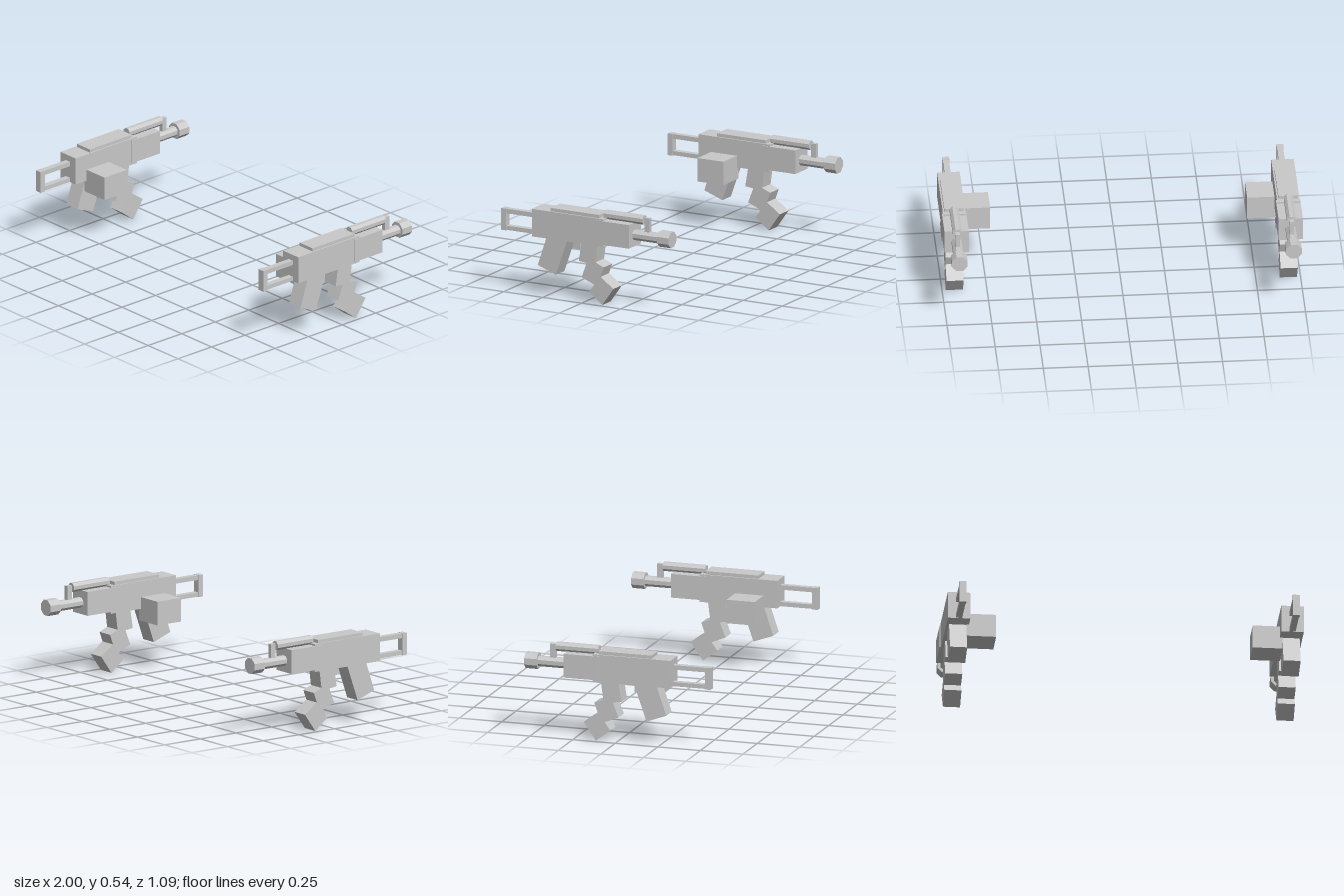
import * as THREE from 'three';

const grey = new THREE.MeshStandardMaterial({ color: 0xc9c9c9 });
grey.name = 'light grey';

function add(group, name, geometry) {
  const flat = geometry.index ? geometry.toNonIndexed() : geometry;
  flat.computeVertexNormals(); // one normal per facet
  const mesh = new THREE.Mesh(flat, grey);
  mesh.name = name;
  group.add(mesh);
}

// Box from its width in x, and its y and z limits
function block(w, y0, y1, z0, z1, x = 0) {
  return new THREE.BoxGeometry(w, y1 - y0, z1 - z0).translate(x, (y0 + y1) / 2, (z0 + z1) / 2);
}

// Octagonal bar along z, with flats facing up and sideways
function bar(halfHeight, y, z0, z1) {
  const r = halfHeight / Math.cos(Math.PI / 8);
  return new THREE.CylinderGeometry(r, r, z1 - z0, 8)
    .rotateY(Math.PI / 8).rotateX(Math.PI / 2).translate(0, y, (z0 + z1) / 2);
}

// Side profile given as [z, y] points, given thickness across x
function profile(points, width) {
  const shape = new THREE.Shape(points.map(p => new THREE.Vector2(...p)));
  return new THREE.ExtrudeGeometry(shape, { depth: width, bevelEnabled: false })
    .translate(0, 0, -width / 2).rotateY(-Math.PI / 2);
}

function createUnit(side) {
  const g = new THREE.Group();
  // main housing
  add(g, 'body', block(0.126, 0.341, 0.499, -0.135, 0.322));
  add(g, 'topCover', block(0.108, 0.49, 0.518, -0.104, 0.208));
  add(g, 'handguard', block(0.136, 0.353, 0.489, -0.302, -0.094));
  // barrel end
  add(g, 'barrel', bar(0.028, 0.419, -0.48, -0.29));
  add(g, 'muzzle', bar(0.044, 0.42, -0.543, -0.47));
  add(g, 'upperTube', bar(0.025, 0.512, -0.365, -0.114));
  add(g, 'sightPost', block(0.024, 0.435, 0.526, -0.402, -0.37));
  // open stock: two rails and an end plate
  add(g, 'stockUpperRail', block(0.034, 0.438, 0.464, 0.31, 0.52));
  add(g, 'stockLowerRail', block(0.034, 0.343, 0.367, 0.31, 0.52));
  add(g, 'stockEndPlate', block(0.04, 0.34, 0.465, 0.512, 0.544));
  // grip and stepped magazine under the body
  add(g, 'grip', profile([[0.236, 0.345], [0.293, 0.177], [0.177, 0.135], [0.103, 0.345]], 0.096));
  add(g, 'magazine', profile([
    [0.012, 0.345], [0.03, 0.235], [-0.021, 0.229], [0.012, 0.144], [-0.069, 0.111], [-0.036, 0.065],
    [-0.12, 0], [-0.192, 0.102], [-0.109, 0.161], [-0.13, 0.218], [-0.077, 0.24], [-0.091, 0.345],
  ], 0.096));
  // block on the inner side
  add(g, 'sideBlock', block(0.168, 0.273, 0.408, 0.075, 0.241, -side * 0.131));
  g.position.x = side * 0.932;
  g.name = side > 0 ? 'leftUnit' : 'rightUnit';
  return g;
}

export function createModel() {
  const model = new THREE.Group();
  model.name = 'pair';
  for (const side of [-1, 1]) model.add(createUnit(side));
  return model;
}
